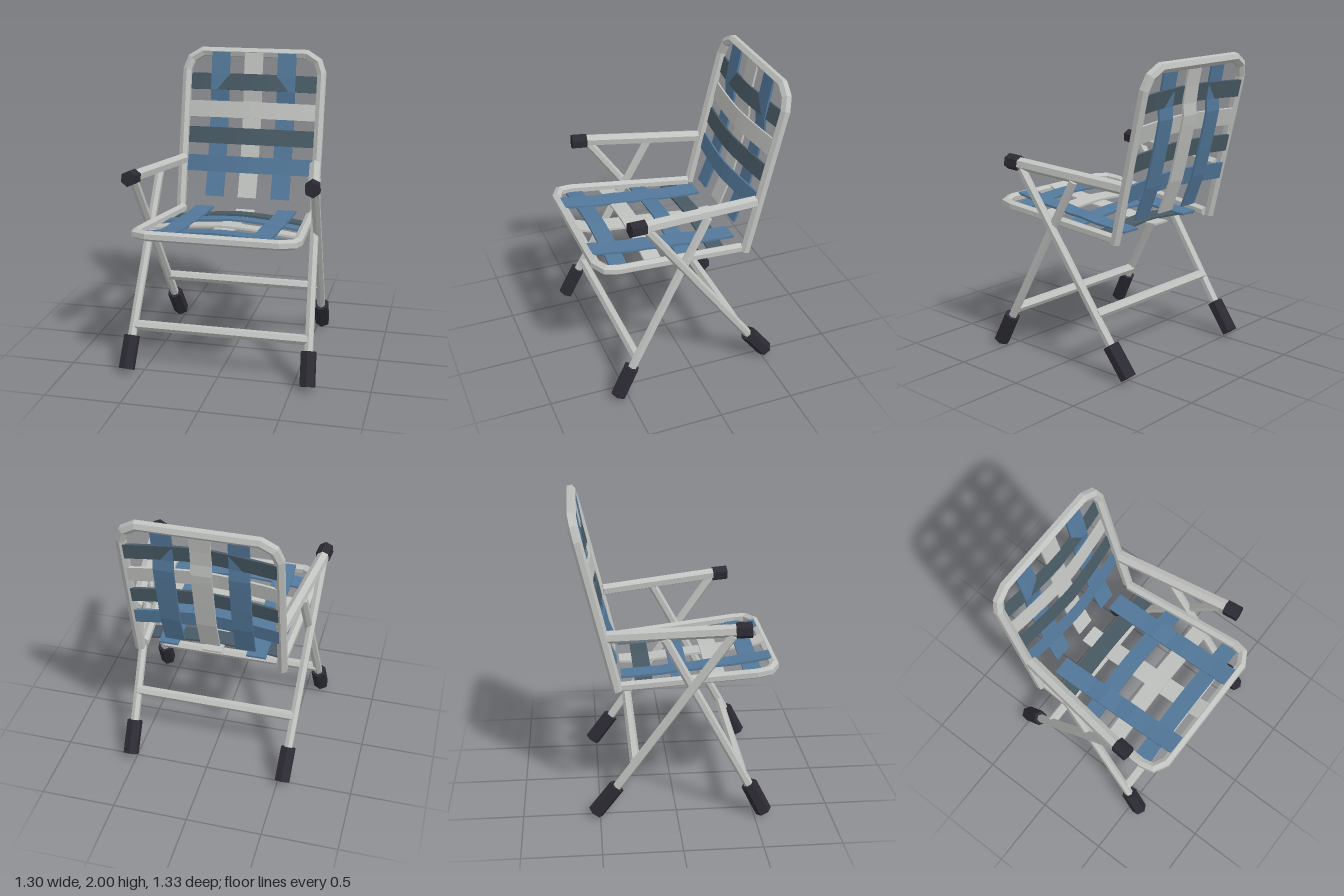
import * as THREE from 'three';

const paint = (name, color) => {
  const m = new THREE.MeshStandardMaterial({ color, flatShading: true });
  m.name = name;
  return m;
};

export function createModel() {
  const grey = paint('light grey', 0xc0c2bf);
  const blue = paint('blue webbing', 0x53789a);
  const slate = paint('slate webbing', 0x485a64);
  const black = paint('dark rubber', 0x2c2b34);
  const chair = new THREE.Group();
  chair.name = 'foldingChair';

  function add(parent, name, geometry, material) {
    const mesh = new THREE.Mesh(geometry, material);
    mesh.name = name;
    parent.add(mesh);
    return mesh;
  }

  // Straight six-sided rod between two points
  function rod(name, a, b, r, material = grey) {
    const p = new THREE.Vector3(...a), q = new THREE.Vector3(...b);
    const d = q.clone().sub(p);
    const mesh = add(chair, name, new THREE.CylinderGeometry(r, r, d.length(), 6), material);
    mesh.position.copy(p).add(q).multiplyScalar(0.5);
    mesh.quaternion.setFromUnitVectors(new THREE.Vector3(0, 1, 0), d.normalize());
  }

  // Bent six-sided tube in the XY plane with mitred corners and closed ends
  function bentTube(path, r) {
    const pts = path.map(([x, y]) => new THREE.Vector2(x, y));
    const pos = [], index = [], n = 6, last = pts.length - 1;
    pts.forEach((p, i) => {
      const h = Math.max(i, 1), j = Math.min(i, last - 1);
      const tin = pts[h].clone().sub(pts[h - 1]).normalize();
      const tout = pts[j + 1].clone().sub(pts[j]).normalize();
      const t = tin.clone().add(tout).normalize();
      const s = r / t.dot(tin);
      for (let k = 0; k < n; k++) {
        const a = (k + 0.5) / n * Math.PI * 2, c = Math.cos(a) * s;
        pos.push(p.x + t.y * c, p.y - t.x * c, Math.sin(a) * r);
      }
    });
    for (let i = 0; i < last; i++) {
      for (let k = 0; k < n; k++) {
        const a = i * n + k, b = i * n + (k + 1) % n;
        index.push(a, b + n, b, a, a + n, b + n);
      }
    }
    for (let k = 1; k < n - 1; k++) {
      index.push(0, k, k + 1, last * n, last * n + k + 1, last * n + k);
    }
    const g = new THREE.BufferGeometry();
    g.setAttribute('position', new THREE.Float32BufferAttribute(pos, 3));
    g.setIndex(index);
    g.computeVertexNormals();
    return g;
  }

  // Mirrors half of a frame path across x = 0
  const mirrored = half => [...half, ...half.slice().reverse().map(([x, y]) => [-x, y])];

  // Cross strap bowed out of the frame plane
  function crossStrap(parent, y, halfLength, base, bow, material) {
    const g = new THREE.BoxGeometry(halfLength * 2, 0.115, 0.014, 10, 1, 1);
    const p = g.attributes.position;
    for (let i = 0; i < p.count; i++) {
      const u = Math.abs(p.getX(i)) / halfLength;
      p.setZ(i, p.getZ(i) + base + bow * (1 - u ** 1.5));
    }
    g.translate(0, y, 0);
    add(parent, 'crossStrap', g, material);
  }

  // Long strap whose height follows [position, height] points
  function longStrap(parent, x, profile, material) {
    const g = new THREE.BoxGeometry(0.13, 1, 0.014, 1, profile.length - 1, 1);
    const p = g.attributes.position;
    for (let i = 0; i < p.count; i++) {
      const [y, h] = profile[Math.round((p.getY(i) + 0.5) * (profile.length - 1))];
      p.setXYZ(i, p.getX(i) + x, y, p.getZ(i) + h);
    }
    add(parent, 'longStrap', g, material);
  }

  // Backrest: local y runs up the frame, local z points forward
  const back = new THREE.Group();
  back.name = 'backrest';
  back.position.set(0, 0.87, -0.37);
  back.rotation.x = -Math.atan(0.26 / 1.1);
  chair.add(back);
  add(back, 'backFrame', bentTube(mirrored([
    [0.48, 0], [0.48, 1.0], [0.45, 1.08], [0.37, 1.13]]), 0.034), grey);
  [[0.34, blue], [0.54, slate], [0.725, grey], [0.92, slate]].forEach(([y, m]) =>
    crossStrap(back, y, 0.47, -0.02, 0.05, m));
  const backProfile = [[0.11, 0.026], [0.34, -0.008], [0.54, -0.012], [0.725, -0.012],
    [0.79, -0.01], [0.863, 0.01], [0.966, 0.019], [1.125, 0.025]];
  [[-0.235, blue], [0, grey], [0.235, blue]].forEach(([x, m]) =>
    longStrap(back, x, backProfile, m));

  // Seat: local y runs backward, local z points up
  const seat = new THREE.Group();
  seat.name = 'seat';
  seat.position.set(0, 0.89, -0.345);
  seat.rotation.x = -Math.PI / 2 - Math.atan(0.095 / 0.98);
  chair.add(seat);
  add(seat, 'seatFrame', bentTube(mirrored([
    [0.46, 0], [0.518, -0.86], [0.502, -0.94], [0.42, -0.985]]).reverse(), 0.033), grey);
  [[-0.146, 0.455, -0.032, slate], [-0.38, 0.475, -0.021, blue],
    [-0.606, 0.495, -0.021, grey], [-0.84, 0.508, -0.021, blue]]
    .forEach(([y, w, base, m]) => crossStrap(seat, y, w, base, 0.043, m));
  const over = [[-0.98, 0.025], [-0.84, 0.016], [-0.72, 0.012], [-0.606, 0.016],
    [-0.49, 0.01], [-0.38, 0.016], [-0.26, 0.01], [-0.146, 0.014], [-0.005, 0.02]];
  const under = [[-0.98, 0.025], [-0.89, 0.004], [-0.606, 0], [-0.38, 0], [-0.146, -0.008], [-0.005, 0.01]];
  [-0.295, 0.295].forEach(x => longStrap(seat, x, over, blue));
  longStrap(seat, 0, under, grey);

  // Arms, crossed legs and rubber ends on both sides
  for (const s of [1, -1]) {
    const side = s > 0 ? 'left' : 'right';
    rod(side + 'Arm', [s * 0.59, 1.293, 0.38], [s * 0.473, 1.23, -0.427], 0.041);
    rod(side + 'ArmCap', [s * 0.592, 1.296, 0.46], [s * 0.582, 1.29, 0.36], 0.052, black);
    rod(side + 'FrontLeg', [s * 0.595, 0.15, 0.503], [s * 0.54, 1.23, -0.075], 0.03);
    rod(side + 'FrontFoot', [s * 0.602, 0.03, 0.565], [s * 0.591, 0.23, 0.465], 0.054, black);
    rod(side + 'RearLeg', [s * 0.541, 0.15, -0.44], [s * 0.592, 1.26, 0.342], 0.03);
    rod(side + 'RearFoot', [s * 0.536, 0.04, -0.53], [s * 0.544, 0.225, -0.39], 0.054, black);
  }

  // Bars joining each pair of legs
  rod('frontCrossbar', [-0.58, 0.29, 0.425], [0.58, 0.29, 0.425], 0.034);
  rod('rearCrossbar', [-0.55, 0.4, -0.27], [0.55, 0.4, -0.27], 0.034);

  return chair;
}
